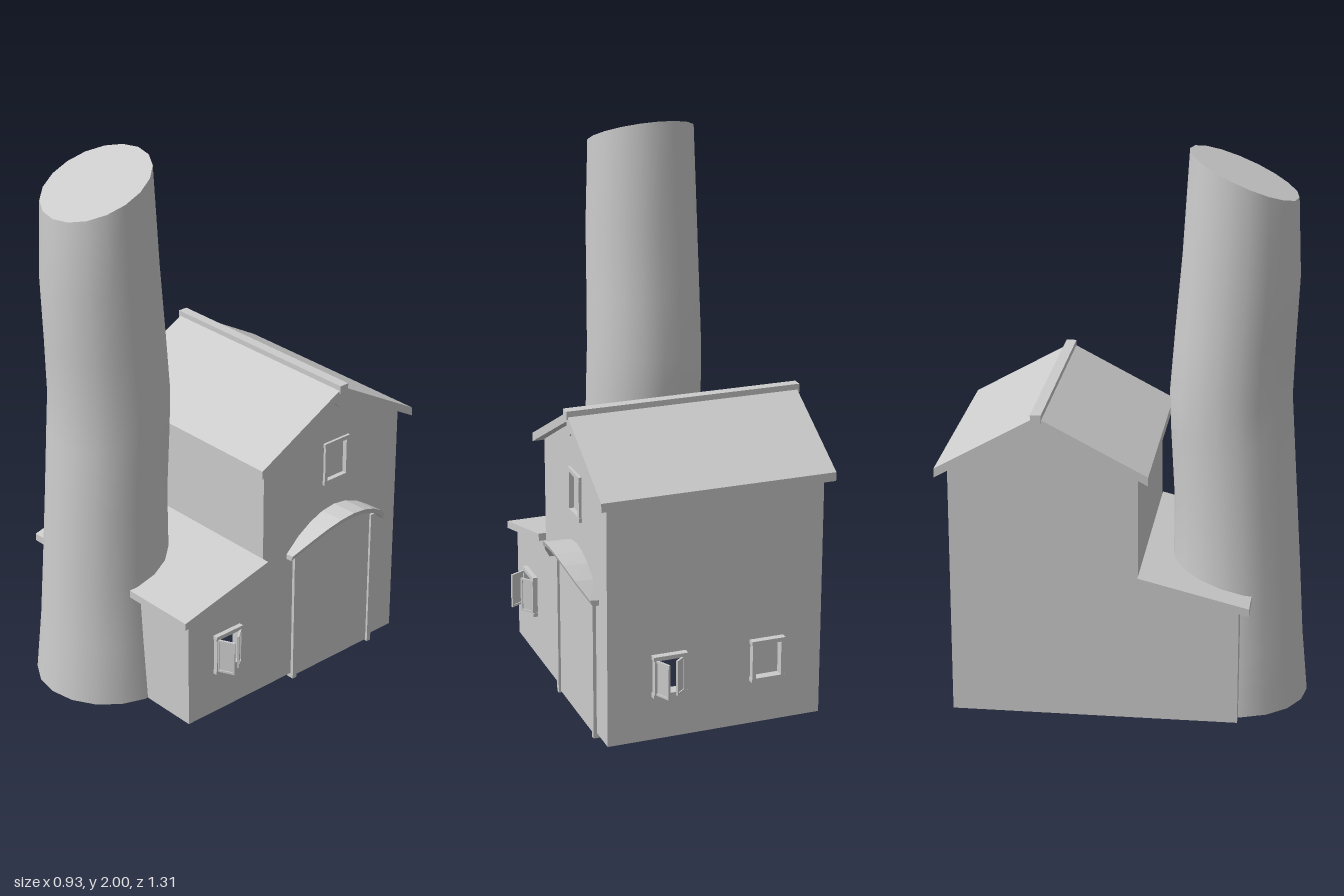
import * as THREE from 'three';

const grey = new THREE.MeshStandardMaterial({ color: 0xcccccc });
const thin = new THREE.MeshStandardMaterial({ color: 0xcccccc, side: THREE.DoubleSide });
const QUARTER = Math.PI / 2;

function add(parent, name, geo, mat = grey) {
  const m = new THREE.Mesh(geo, mat);
  m.name = name;
  parent.add(m);
  return m;
}

function box(parent, name, w, h, d, x, y, z) {
  const m = add(parent, name, new THREE.BoxGeometry(w, h, d));
  m.position.set(x, y, z);
  return m;
}

const shapeOf = (pts) => new THREE.Shape(pts.map(([a, b]) => new THREE.Vector2(a, b)));
// Profiles are given as [z, y]; the shape plane uses -z so it can turn to face +x
const sideShape = (pts) => shapeOf(pts.map(([z, y]) => [-z, y]));

function cutWindow(shape, u, y, w, h) {
  shape.holes.push(new THREE.Path([[-1, -1], [-1, 1], [1, 1], [1, -1]].map(
    ([a, b]) => new THREE.Vector2(u + a * w / 2, y + b * h / 2))));
}

// Slab with a [z, y] profile running along x
function slab(parent, name, pts, x0, x1) {
  const geo = new THREE.ExtrudeGeometry(sideShape(pts), { depth: x1 - x0, bevelEnabled: false });
  geo.rotateY(QUARTER).translate(x0, 0, 0);
  return add(parent, name, geo);
}

// Window facing local +z: frame, then either a pane or two open casements
function makeWindow(name, w, h, out, open) {
  const g = new THREE.Group();
  g.name = name;
  for (const s of [-1, 1]) {
    box(g, 'jamb', 0.013, h, out + 0.02, s * (w / 2 - 0.009), 0, out / 2 - 0.01);
    box(g, s > 0 ? 'lintel' : 'sill', w, 0.015, out + 0.02, 0, s * (h / 2 - 0.0075), out / 2 - 0.01);
  }
  if (!open) {
    add(g, 'pane', new THREE.PlaneGeometry(w - 0.01, h - 0.01), thin).position.z = -0.008;
    return g;
  }
  const leaves = [[0.055, 0.005, 0.012, 0.04], [-0.055, 0.005, -0.025, 0.065]];
  for (const [x0, z0, x1, z1] of leaves) {
    const len = Math.hypot(x1 - x0, z1 - z0);
    const leaf = new THREE.Group();
    leaf.name = 'casement';
    for (const s of [-1, 1]) {
      box(leaf, 'stile', 0.008, 0.13, 0.008, s * (len / 2 - 0.004), 0, 0);
      box(leaf, 'rail', len, 0.008, 0.008, 0, s * 0.061, 0);
    }
    add(leaf, 'glass', new THREE.PlaneGeometry(len, 0.125), thin);
    leaf.position.set((x0 + x1) / 2, 0, (z0 + z1) / 2 + 0.008);
    leaf.rotation.y = -Math.atan2(z1 - z0, x1 - x0);
    g.add(leaf);
  }
  return g;
}

// Bent, tapering stack with a slanted lid
function makeTower() {
  const g = new THREE.Group();
  g.name = 'chimneyTower';
  const n = 18;
  // y, centre z, radius, slant
  const rings = [
    [0.02, 0.395, 0.265, 0], [0.25, 0.395, 0.244, 0], [0.48, 0.4, 0.226, 0], [0.75, 0.392, 0.217, 0],
    [1.0, 0.377, 0.216, 0], [1.14, 0.37, 0.214, 0], [1.35, 0.382, 0.21, 0.05],
    [1.6, 0.399, 0.206, 0.15], [1.92, 0.405, 0.195, 0.43],
  ];
  const pos = [], idx = [], lid = [];
  rings.forEach(([y, z, r, slant], k) => {
    for (let i = 0; i < n; i++) {
      const a = (i / n) * Math.PI * 2 + QUARTER;
      const dz = r * Math.sin(a) * (1 - slant * 0.11);
      const p = [-0.125 + r * Math.cos(a), y - slant * dz, z + dz];
      pos.push(...p);
      if (k === rings.length - 1) lid.push(...p);
      if (k > 0) {
        const j = (i + 1) % n, lo = (k - 1) * n, hi = k * n;
        idx.push(lo + i, hi + i, lo + j, lo + j, hi + i, hi + j);
      }
    }
  });
  const build = (name, p, index) => {
    const geo = new THREE.BufferGeometry();
    geo.setAttribute('position', new THREE.Float32BufferAttribute(p, 3));
    geo.setIndex(index);
    geo.computeVertexNormals();
    add(g, name, geo, thin);
  };
  build('towerShaft', pos, idx);
  const fan = [];
  for (let i = 1; i < n - 1; i++) fan.push(0, i + 1, i);
  build('towerLid', lid, fan);
  return g;
}

// Arched awning: deepest at its crown, closing to the wall at its ends
function makeAwning() {
  const steps = 8, pos = [], idx = [];
  for (let i = 0; i <= steps; i++) {
    const t = (i / steps) * 2 - 1;
    const c = Math.cos(t * QUARTER);
    const z = -0.267 + t * 0.232;
    const y = 0.535 + 0.12 * Math.pow(c, 0.85);
    const x = 0.392 + 0.07 * Math.pow(c, 0.75);
    pos.push(0.355, y, z, x, y + 0.003, z, x - 0.008, y - 0.018, z, 0.355, y - 0.02, z);
    if (i < steps) {
      for (let k = 0; k < 4; k++) {
        const a = i * 4 + k, b = i * 4 + (k + 1) % 4;
        idx.push(a, a + 4, b, b, a + 4, b + 4);
      }
    }
  }
  const e = steps * 4;
  idx.push(0, 1, 2, 0, 2, 3, e, e + 2, e + 1, e, e + 3, e + 2);
  const geo = new THREE.BufferGeometry();
  geo.setAttribute('position', new THREE.Float32BufferAttribute(pos, 3));
  geo.setIndex(idx);
  const flat = geo.toNonIndexed();
  flat.computeVertexNormals();
  return flat;
}

export function createModel() {
  const model = new THREE.Group();
  model.name = 'houseWithTower';

  // Gable walls with the lean-to outline
  const outline = [[0.43, 0.02], [-0.58, 0.02], [-0.58, 0.925], [-0.265, 1.105],
    [0.08, 0.92], [0.08, 0.54], [0.43, 0.45]];
  const doorWall = sideShape(outline);
  cutWindow(doorWall, -0.252, 0.262, 0.1, 0.13);
  cutWindow(doorWall, 0.267, 0.836, 0.1, 0.145);
  add(model, 'doorWall', new THREE.ShapeGeometry(doorWall).rotateY(QUARTER).translate(0.36, 0, 0), thin);
  const plainWall = shapeOf(outline);
  add(model, 'plainWall', new THREE.ShapeGeometry(plainWall).rotateY(-QUARTER).translate(-0.43, 0, 0), thin);

  // Back wall with two window openings
  const back = shapeOf([[-0.36, 0.02], [0.43, 0.02], [0.43, 0.925], [-0.36, 0.925]]);
  for (const u of [-0.137, 0.225]) cutWindow(back, u, 0.262, 0.1, 0.13);
  add(model, 'backWall', new THREE.ShapeGeometry(back).rotateY(Math.PI).translate(0, 0, -0.58), thin);

  // Front walls of the lean-to and of the upper storey
  for (const [name, y0, y1, z] of [['leanToFrontWall', 0.02, 0.45, 0.43], ['upperFrontWall', 0.53, 0.92, 0.08]]) {
    add(model, name, new THREE.PlaneGeometry(0.79, y1 - y0), thin).position.set(-0.035, (y0 + y1) / 2, z);
  }

  // Roofs
  slab(model, 'mainRoof', [[0.117, 0.903], [0.117, 0.935], [-0.265, 1.135], [-0.622, 0.935],
    [-0.622, 0.903], [-0.265, 1.103]], -0.455, 0.392);
  slab(model, 'ridgeCap', [[-0.247, 1.115], [-0.247, 1.145], [-0.284, 1.145], [-0.284, 1.115]], -0.463, 0.397);
  slab(model, 'ridgeBeam', [[-0.23, 1.085], [-0.265, 1.12], [-0.3, 1.085], [-0.265, 1.05]], -0.445, 0.38);
  slab(model, 'leanToRoof', [[0.467, 0.436], [0.467, 0.464], [0.08, 0.56], [0.08, 0.532]], -0.45, 0.387);

  // Arched doorway
  const doorShape = sideShape([[-0.067, 0.005], [-0.467, 0.005], [-0.467, 0.545], [-0.4, 0.605],
    [-0.267, 0.635], [-0.134, 0.605], [-0.067, 0.545]]);
  add(model, 'door', new THREE.ShapeGeometry(doorShape).rotateY(QUARTER).translate(0.363, 0, 0), thin);
  for (const s of [-1, 1]) box(model, 'doorPost', 0.03, 0.545, 0.018, 0.357, 0.2725, -0.266 + s * 0.192);
  add(model, 'awning', makeAwning(), thin);

  // Windows
  const place = (win, x, y, z, turn) => {
    win.position.set(x, y, z);
    win.rotation.y = turn;
    model.add(win);
  };
  place(makeWindow('leanToWindow', 0.125, 0.156, 0.018, true), 0.36, 0.262, 0.252, QUARTER);
  place(makeWindow('gableWindow', 0.122, 0.165, 0.01, false), 0.36, 0.836, -0.267, QUARTER);
  place(makeWindow('backOpenWindow', 0.125, 0.156, 0.024, true), 0.137, 0.262, -0.58, Math.PI);
  place(makeWindow('backClosedWindow', 0.125, 0.156, 0.024, false), -0.225, 0.262, -0.58, Math.PI);

  model.add(makeTower());
  return model;
}
